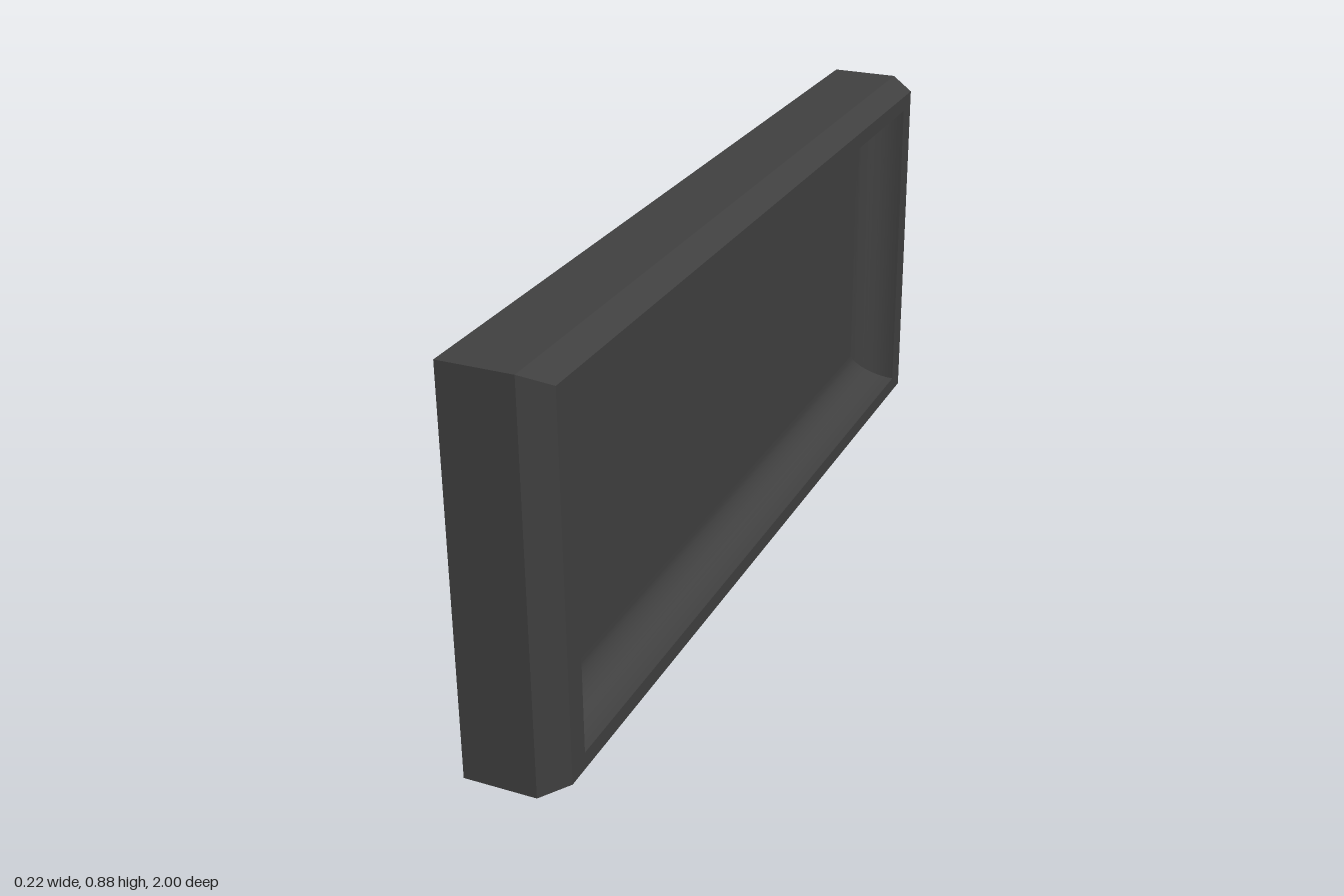
import * as THREE from 'three';
import { toCreasedNormals } from 'three/addons/utils/BufferGeometryUtils.js';

const HEIGHT = 0.875, HALF_LENGTH = 1;
const BACK = -0.108, FRONT = 0.108, FLOOR = 0.015;

// Corners of a rectangle facing +x, inset from the outer outline
function ring([x, insetY, insetZ]) {
  const z = HALF_LENGTH - insetZ, lo = insetY, hi = HEIGHT - insetY;
  return [[x, lo, z], [x, lo, -z], [x, hi, -z], [x, hi, z]];
}

// Sweep a profile of [x, insetY, insetZ] round the four mitred sides
function frameGeometry(profile) {
  const rings = profile.map(ring), pos = [];
  for (let r = 0; r + 1 < rings.length; r++) {
    for (let i = 0; i < 4; i++) {
      const j = (i + 1) % 4, a = rings[r], b = rings[r + 1];
      pos.push(...a[i], ...a[j], ...b[j], ...a[i], ...b[j], ...b[i]);
    }
  }
  const geometry = new THREE.BufferGeometry();
  geometry.setAttribute('position', new THREE.Float32BufferAttribute(pos, 3));
  return toCreasedNormals(geometry, 0.3);
}

export function createModel() {
  const group = new THREE.Group();
  const material = new THREE.MeshStandardMaterial({ color: 0x404040 });
  const add = (name, geometry) => {
    const mesh = new THREE.Mesh(geometry, material);
    mesh.name = name;
    group.add(mesh);
    return mesh;
  };
  // Flat rectangle in the y-z plane, facing +x or -x
  const panel = (name, x, insetY, insetZ, facing) => {
    const mesh = add(name, new THREE.PlaneGeometry(2 * (HALF_LENGTH - insetZ), HEIGHT - 2 * insetY));
    mesh.position.set(x, HEIGHT / 2, 0);
    mesh.rotation.y = facing * Math.PI / 2;
  };

  // Outer walls, front chamfer and flat rim
  add('outerFrame', frameGeometry([
    [BACK, 0, 0], [0.05, 0, 0], [FRONT, 0.025, 0.035], [FRONT, 0.062, 0.088],
  ]));

  // Concave quarter curve from the rim down to the recessed floor
  const cove = [];
  for (let i = 0; i <= 12; i++) {
    const t = i / 12 * Math.PI / 2, inward = 0.083 * (1 - Math.cos(t));
    cove.push([FRONT - (FRONT - FLOOR) * Math.sin(t), 0.062 + inward, 0.088 + inward]);
  }
  add('recessCove', frameGeometry(cove));

  panel('recessFloor', FLOOR, 0.145, 0.171, 1);
  panel('backPanel', BACK, 0, 0, -1);
  return group;
}
